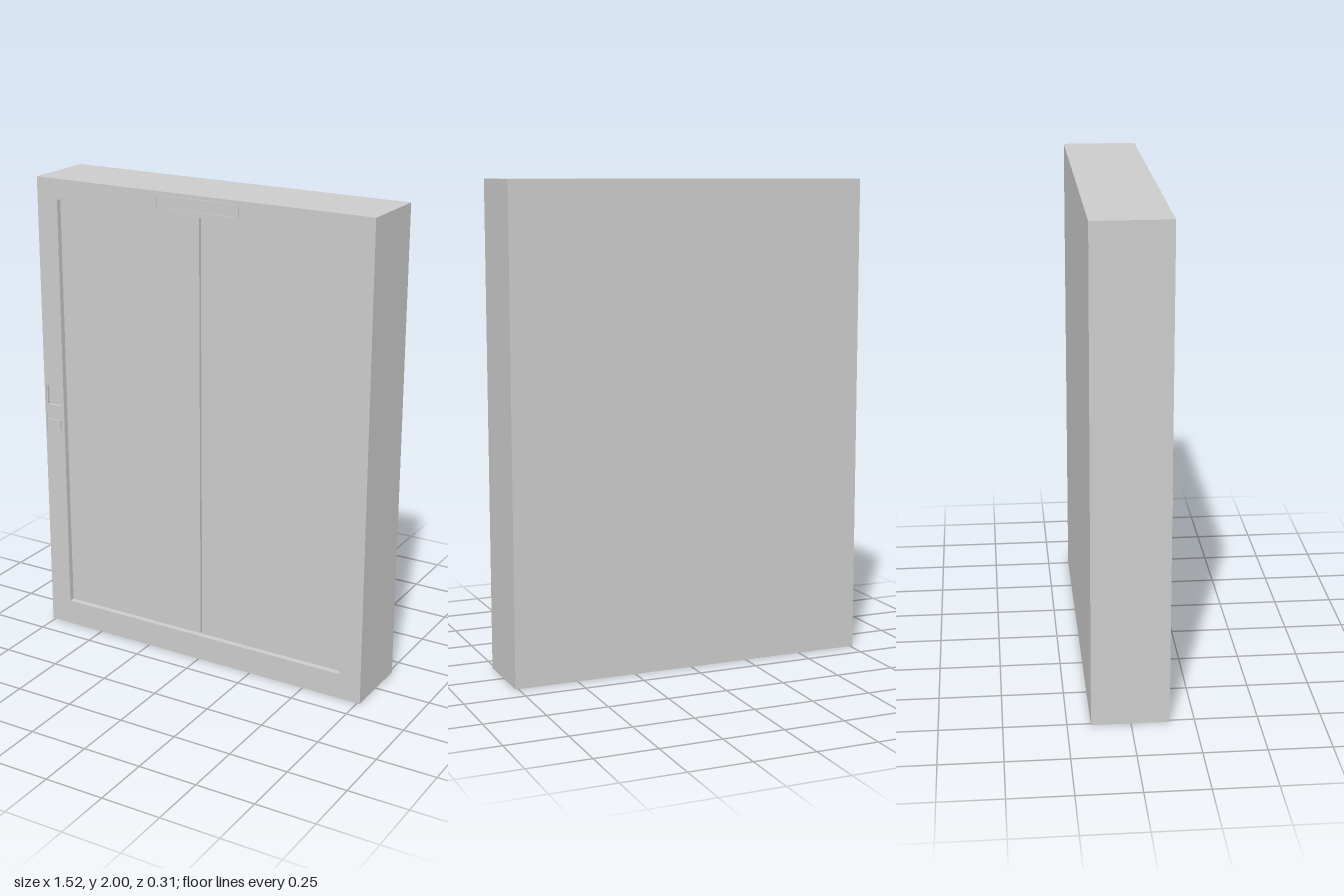
import * as THREE from 'three';

const material = new THREE.MeshStandardMaterial({ color: 0xcccccc, flatShading: true });

// Rectangle outline from its corner coordinates
function rect(Type, x0, x1, y0, y1) {
  const points = [[x0, y0], [x1, y0], [x1, y1], [x0, y1]];
  return new Type(points.map(([x, y]) => new THREE.Vector2(x, y)));
}

export function createModel() {
  const group = new THREE.Group();

  const add = (name, geometry) => {
    const mesh = new THREE.Mesh(geometry, material);
    mesh.name = name;
    group.add(mesh);
  };
  const box = (name, x0, x1, y0, y1, z0, z1) => add(name,
    new THREE.BoxGeometry(x1 - x0, y1 - y0, z1 - z0)
      .translate((x0 + x1) / 2, (y0 + y1) / 2, (z0 + z1) / 2));
  // Flat plate with rectangular openings
  const plate = (name, outer, holes, z0, z1) => {
    const shape = rect(THREE.Shape, ...outer);
    shape.holes = holes.map((h) => rect(THREE.Path, ...h));
    add(name, new THREE.ExtrudeGeometry(shape, { depth: z1 - z0, bevelEnabled: false })
      .translate(0, 0, z0));
  };

  const front = 0.152;
  const seat = 0.11;

  // Solid body and the surround with its door and control openings
  box('body', -0.762, 0.762, 0, 2, -0.157, seat);
  plate('doorSurround', [-0.762, 0.762, 0, 2],
    [[-0.665, 0.665, 0.11, 1.915], [-0.756, -0.672, 0.895, 1.11]], seat, front);

  // Pair of sliding doors with a narrow seam
  for (const side of [-1, 1]) {
    const edges = [side * 0.004, side * 0.665].sort((a, b) => a - b);
    box(side < 0 ? 'rightDoor' : 'leftDoor', ...edges, 0.11, 1.915, seat, front - 0.024);
  }

  // Call panel: set-back plate, deeper display window, raised button
  plate('callPanel', [-0.756, -0.672, 0.895, 1.11],
    [[-0.749, -0.679, 1.02, 1.103]], seat, front - 0.003);
  box('callDisplay', -0.749, -0.679, 1.02, 1.103, seat, front - 0.014);
  box('callButton', -0.748, -0.683, 0.902, 0.956, seat, front + 0.003);

  // Floor indicator above the doors: raised rim around a display
  plate('indicatorRim', [-0.187, 0.187, 1.93, 1.986],
    [[-0.181, 0.181, 1.936, 1.98]], front - 0.002, 0.157);
  box('indicatorDisplay', -0.181, 0.181, 1.936, 1.98, front - 0.002, front + 0.001);

  return group;
}
